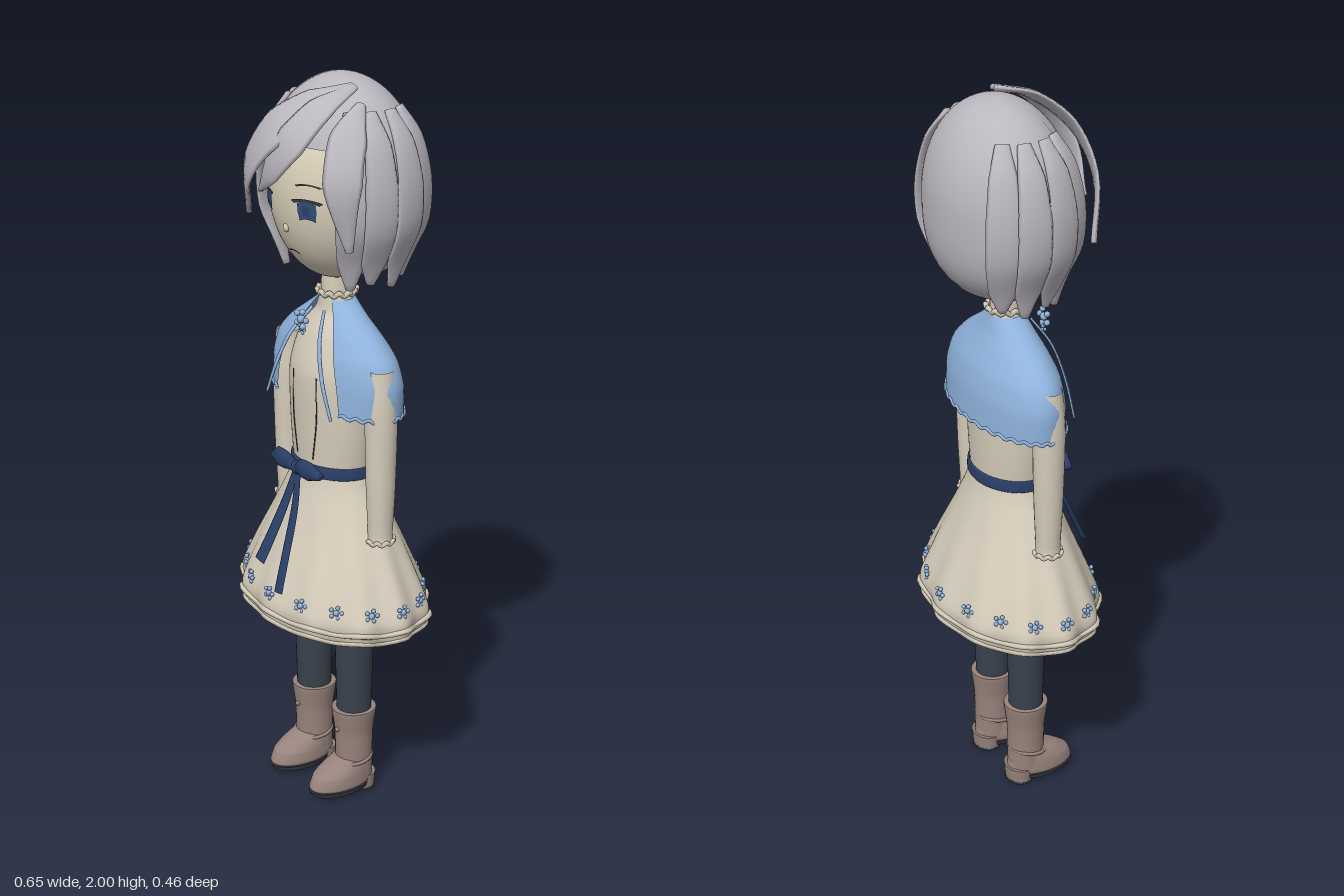
import * as THREE from 'three';

const V = (x, y, z) => new THREE.Vector3(x, y, z);
const mat = (name, color) => {
  const m = new THREE.MeshStandardMaterial({ color, side: THREE.DoubleSide });
  m.name = name;
  return m;
};

// Surface through rows of points; a closed surface wraps around each row.
function surface(rows, closed = true) {
  const n = rows[0].length, index = [];
  for (let i = 0; i < rows.length - 1; i++) {
    for (let j = 0; j < (closed ? n : n - 1); j++) {
      const k = (j + 1) % n, a = i * n, b = a + n;
      index.push(a + j, a + k, b + k, a + j, b + k, b + j);
    }
  }
  const g = new THREE.BufferGeometry().setFromPoints(rows.flat());
  g.setIndex(index);
  g.computeVertexNormals();
  return g;
}

// Elliptical rings [y, rx, rz, zCentre] listed bottom to top and smoothed.
// gap(t) opens the front, wave(angle, t) ripples the radius.
function loft(rings, { x = 0, seg = 48, steps = 32, gap = null, wave = () => 1 } = {}) {
  const size = new THREE.CatmullRomCurve3(rings.map(r => V(r[0], r[1], r[2])), false, 'catmullrom', 0.4);
  const rows = [];
  for (let i = 0; i <= steps; i++) {
    const t = i / steps, p = size.getPoint(t), row = [];
    const f = t * (rings.length - 1), k = Math.min(Math.floor(f), rings.length - 2);
    const zc = THREE.MathUtils.lerp(rings[k][3] || 0, rings[k + 1][3] || 0, f - k);
    const a0 = gap ? gap(t) : 0, n = gap ? seg + 1 : seg;
    for (let j = 0; j < n; j++) {
      const a = a0 + (2 * Math.PI - 2 * a0) * j / seg, w = wave(a, t);
      row.push(V(x + Math.sin(a) * p.y * w, p.x, zc + Math.cos(a) * p.z * w));
    }
    rows.push(row);
  }
  return surface(rows, !gap);
}

// Tapered strand with a lens section, its flat side facing away from centre.
function strand(points, widths, thick, centre) {
  const curve = new THREE.CatmullRomCurve3(points), rows = [], n = 20;
  for (let i = -1; i <= n + 1; i++) {
    const t = THREE.MathUtils.clamp(i / n, 0, 1), p = curve.getPoint(t), tan = curve.getTangent(t);
    const side = tan.clone().cross(p.clone().sub(centre)).normalize();
    const nrm = side.clone().cross(tan).normalize();
    const f = t * (widths.length - 1), k = Math.min(Math.floor(f), widths.length - 2);
    const open = i < 0 || i > n ? 0 : 1;
    const w = open * THREE.MathUtils.lerp(widths[k], widths[k + 1], f - k);
    rows.push(Array.from({ length: 10 }, (_, j) => {
      const a = -j / 10 * 2 * Math.PI;
      return p.clone().addScaledVector(side, w * Math.cos(a)).addScaledVector(nrm, open * thick * Math.sin(a));
    }));
  }
  return surface(rows);
}

const tube = (pts, r, closed = false, n = 40) =>
  new THREE.TubeGeometry(new THREE.CatmullRomCurve3(pts, closed), n, r, 6, closed);

export function createModel() {
  const M = {
    skin: mat('skin', 0xd9cfb9), dress: mat('dress cream', 0xd5ccba), hair: mat('silver hair', 0xbab7be),
    cape: mat('cape blue', 0x8fb2dc), navy: mat('ribbon navy', 0x2a3f68), eye: mat('eye blue', 0x2f4f7c),
    line: mat('dark line', 0x39363a), tights: mat('tights', 0x3a424d), boot: mat('boot brown', 0x97837c),
    sole: mat('sole', 0x3b3c44),
  };
  const model = new THREE.Group();
  const add = (name, geo, m) => {
    const o = new THREE.Mesh(geo, m);
    o.name = name;
    model.add(o);
    return o;
  };

  // Head and neck
  const hc = V(0, 1.71, -0.005), hr = V(0.185, 0.24, 0.165);
  add('head', new THREE.SphereGeometry(1, 48, 32).scale(hr.x, hr.y, hr.z).translate(hc.x, hc.y, hc.z), M.skin);
  add('neck', new THREE.CylinderGeometry(0.04, 0.042, 0.14, 24).translate(0, 1.46, -0.01), M.skin);
  add('nose', new THREE.SphereGeometry(0.012, 12, 8).scale(0.8, 1, 0.7).translate(0, 1.625, 0.149), M.skin);

  // Face details, laid on the head surface
  const faceZ = (x, y) => hc.z + hr.z * Math.sqrt(1 - (x / hr.x) ** 2 - ((y - hc.y) / hr.y) ** 2);
  const patch = (name, x, y, w, h, lift, m) => {
    const g = new THREE.PlaneGeometry(w, h, 8, 4), p = g.attributes.position;
    for (let i = 0; i < p.count; i++) {
      const u = p.getX(i) / w * 2;
      const px = x + p.getX(i) * (1 - 0.12 * (p.getY(i) < 0)), py = y + p.getY(i) - 0.006 * u * u;
      p.setXYZ(i, px, py, faceZ(px, py) + lift);
    }
    g.computeVertexNormals();
    add(name, g, m);
  };
  for (const s of [-1, 1]) {
    patch('iris', s * 0.081, 1.686, 0.05, 0.046, 0.003, M.eye);
    patch('pupil', s * 0.081, 1.687, 0.02, 0.026, 0.005, M.navy);
    patch('upperLash', s * 0.081, 1.712, 0.08, 0.008, 0.005, M.line);
    patch('eyebrow', s * 0.083, 1.752, 0.07, 0.004, 0.003, M.line);
  }
  patch('mouth', 0, 1.563, 0.045, 0.004, 0.003, M.line);

  // Hair cap: full at the sides and back, open over the face
  const hairPoint = (a, y, k = 1, minR = 0.55) => {
    const t = Math.abs(y - 1.735) / 0.265;
    const r = y > 1.735 ? Math.sqrt(Math.max(0, 1 - t * t)) : Math.max(minR, Math.sqrt(Math.max(0, 1 - t ** 3)));
    return V(Math.sin(a) * 0.235 * r * k, y, -0.03 + Math.cos(a) * 0.18 * r * k);
  };
  const capRows = [];
  for (let i = 0; i <= 32; i++) {
    capRows.push(Array.from({ length: 72 }, (_, j) => {
      const a = j / 72 * 2 * Math.PI, front = Math.min(a, 2 * Math.PI - a);
      const low = THREE.MathUtils.lerp(1.84, 1.51, THREE.MathUtils.smoothstep(front, 0.72, 1.05));
      return hairPoint(a, 2 - (2 - low) * (1 - i / 32) ** 1.6);
    }));
  }
  add('hairCap', surface(capRows), M.hair);

  // Side locks
  const headMid = V(0, 1.73, -0.03);
  for (const s of [-1, 1]) {
    [0.92, 1.28, 1.75, 2.15].forEach((a, i) => {
      const tip = 1.478 + (i % 2) * 0.015;
      const pts = [1.93, 1.86, 1.75, 1.64, 1.55, tip].map(y => hairPoint(s * a, y, 1.03, 0.72));
      add('sideLock', strand(pts, [0.018, 0.036, 0.045, 0.045, 0.036, 0.012], 0.009, headMid), M.hair);
    });
  }

  // Swept fringe
  const fringe = [
    [[V(0.09, 1.985, 0.01), V(0.07, 1.955, 0.11), V(0, 1.885, 0.185), V(-0.09, 1.775, 0.2), V(-0.165, 1.63, 0.15)],
      [0.012, 0.05, 0.065, 0.055, 0.008]],
    [[V(0.1, 1.985, 0.01), V(0.105, 1.945, 0.12), V(0.08, 1.87, 0.19), V(0.02, 1.79, 0.208), V(-0.06, 1.715, 0.185)],
      [0.012, 0.04, 0.05, 0.038, 0.005]],
    [[V(0.14, 1.95, 0.02), V(0.175, 1.88, 0.085), V(0.205, 1.77, 0.125), V(0.2, 1.6, 0.1)],
      [0.012, 0.048, 0.05, 0.01]],
  ];
  fringe.forEach(([p, w]) => add('fringe', strand(p, w, 0.008, headMid), M.hair));

  // Bodice with pleat lines and a frilled collar
  add('bodice', loft([[0.94, 0.125, 0.095], [1.08, 0.14, 0.1], [1.22, 0.142, 0.1], [1.32, 0.115, 0.075, -0.005],
    [1.38, 0.065, 0.05, -0.01], [1.43, 0.044, 0.044, -0.01]]), M.dress);
  const frill = (name, y, x, z, rx, rz, lobes, amp, r, m) => add(name, tube(
    Array.from({ length: lobes * 6 }, (_, i) => {
      const a = i / (lobes * 6) * 2 * Math.PI, w = Math.cos(a * lobes);
      return V(x + Math.sin(a) * rx * (1 + 0.04 * w), y + amp * w, z + Math.cos(a) * rz * (1 + 0.04 * w));
    }), r, true, lobes * 8), m);
  frill('collarFrill', 1.43, 0, -0.01, 0.05, 0.05, 12, 0.005, 0.007, M.dress);
  for (const s of [-1, 1]) {
    add('pleat', tube([V(s * 0.05, 1.22, 0.094), V(s * 0.05, 1.1, 0.094), V(s * 0.034, 0.99, 0.094)], 0.002), M.line);
  }

  // Shoulder cape, open at the front, with edging
  const capeRings = [[1.14, 0.243, 0.118, -0.012], [1.22, 0.244, 0.112, -0.012], [1.28, 0.222, 0.1, -0.01],
    [1.33, 0.172, 0.08, -0.008], [1.37, 0.115, 0.062, -0.008], [1.415, 0.05, 0.046, -0.01]];
  add('cape', loft(capeRings, { gap: t => 0.6 - 0.12 * Math.sin(Math.PI * t) }), M.cape);
  const hem = Array.from({ length: 120 }, (_, i) => {
    const a = 0.6 + (2 * Math.PI - 1.2) * i / 119;
    return V(Math.sin(a) * 0.243, 1.14 + 0.004 * Math.sin(i * 1.3), -0.012 + Math.cos(a) * 0.118);
  });
  add('capeHem', tube(hem, 0.005, false, 180), M.cape);
  for (const s of [-1, 1]) {
    add('capeEdging', strand([V(s * 0.025, 1.39, 0.05), V(s * 0.062, 1.32, 0.092), V(s * 0.1, 1.23, 0.112),
      V(s * 0.142, 1.135, 0.115)], [0.005, 0.007, 0.007, 0.005], 0.003, V(0, 1.25, -0.3)), M.cape);
  }

  // Sleeves with frilled cuffs
  for (const s of [-1, 1]) {
    add('sleeve', loft([[0.79, 0.002, 0.002], [0.79, 0.033, 0.033], [0.82, 0.033, 0.033], [0.95, 0.039, 0.039],
      [1.15, 0.042, 0.043], [1.27, 0.03, 0.035]], { x: s * 0.205, seg: 24 }), M.dress);
    frill('cuffFrill', 0.795, s * 0.205, 0, 0.036, 0.036, 9, 0.004, 0.006, M.dress);
  }

  // Skirt, closed underneath, with scalloped hem
  const ripple = (a, t) => 1 + 0.028 * Math.cos(12 * a) * (1 - THREE.MathUtils.smoothstep(t, 0.4, 0.95));
  add('skirt', loft([[0.555, 0.002, 0.002], [0.55, 0.2, 0.14], [0.533, 0.29, 0.203], [0.56, 0.306, 0.214],
    [0.6, 0.306, 0.214], [0.7, 0.258, 0.178], [0.8, 0.203, 0.14], [0.9, 0.148, 0.108], [0.96, 0.125, 0.095]],
  { seg: 120, steps: 48, wave: ripple }), M.dress);
  frill('upperHemFrill', 0.565, 0, 0, 0.308, 0.215, 12, 0.006, 0.008, M.dress);
  frill('lowerHemFrill', 0.538, 0, 0, 0.296, 0.207, 12, 0.006, 0.009, M.dress);

  // Small bead flowers around the skirt and at the collar
  const beads = (x, y, z, tx, tz, r) => {
    for (let k = 0; k < 6; k++) {
      const a = k * 1.26, d = k ? 1.9 * r : 0;
      add('beadFlower', new THREE.SphereGeometry(k ? r * 0.75 : r, 10, 8).translate(
        x + tx * d * Math.cos(a), y + d * Math.sin(a), z + tz * d * Math.cos(a)), M.cape);
    }
  };
  for (let i = 0; i < 16; i++) {
    const a = i / 16 * 2 * Math.PI, k = ripple(a, 0.5);
    beads(Math.sin(a) * 0.3 * k, 0.622, Math.cos(a) * 0.211 * k, Math.cos(a), -Math.sin(a), 0.008);
  }
  beads(0, 1.372, 0.105, 1, 0, 0.011);
  beads(0, 1.345, 0.103, 1, 0, 0.006);

  // Sash, bow and ribbon tails
  add('sash', loft([[0.942, 0.129, 0.099], [0.945, 0.134, 0.104], [0.972, 0.132, 0.103], [0.975, 0.127, 0.098]],
    { steps: 12 }), M.navy);
  const back = V(0, 0.9, -2);
  add('bowKnot', new THREE.SphereGeometry(0.02, 16, 12).scale(1, 0.95, 0.7).translate(0, 0.962, 0.122), M.navy);
  for (const s of [-1, 1]) {
    add('bowLoop', strand([V(0, 0.96, 0.12), V(s * 0.05, 0.975, 0.132), V(s * 0.105, 0.966, 0.12)],
      [0.008, 0.026, 0.028, 0.008], 0.013, back), M.navy);
  }
  add('ribbonTail', strand([V(-0.004, 0.955, 0.12), V(-0.022, 0.86, 0.145), V(-0.04, 0.76, 0.182),
    V(-0.053, 0.695, 0.208)], [0.012, 0.018, 0.02], 0.003, back), M.navy);
  add('ribbonTail', strand([V(0.004, 0.955, 0.12), V(0.022, 0.86, 0.145), V(0.042, 0.74, 0.19),
    V(0.056, 0.645, 0.225)], [0.012, 0.017, 0.018], 0.003, back), M.navy);

  // Legs and boots
  for (const s of [-1, 1]) {
    const x = s * 0.093;
    add('leg', new THREE.CylinderGeometry(0.056, 0.047, 0.36, 32).translate(x, 0.4, 0), M.tights);
    add('bootShaft', loft([[0.04, 0.05, 0.052], [0.1, 0.05, 0.052], [0.18, 0.051, 0.054], [0.245, 0.06, 0.062],
      [0.252, 0.057, 0.059], [0.252, 0.04, 0.04]], { x, seg: 32 }), M.boot);
    add('bootFoot', loft([[0.024, 0.05, 0.09, 0.045], [0.035, 0.058, 0.1, 0.045], [0.065, 0.056, 0.092, 0.04],
      [0.09, 0.05, 0.072, 0.02], [0.11, 0.042, 0.045, 0]], { x, seg: 32 }), M.boot);
    add('bootSole', new THREE.CylinderGeometry(0.058, 0.054, 0.014, 32).scale(1, 1, 1.72)
      .translate(x, 0.02, 0.046), M.sole);
    add('bootHeel', new THREE.CylinderGeometry(0.049, 0.045, 0.042, 24).scale(1, 1, 0.8)
      .translate(x, 0.025, -0.022), M.boot);
    add('heelCap', new THREE.CylinderGeometry(0.046, 0.046, 0.006, 24).scale(1, 1, 0.8)
      .translate(x, 0.003, -0.022), M.sole);
    add('bootStrap', new THREE.TorusGeometry(0.053, 0.005, 8, 32).rotateX(Math.PI / 2 + 0.15)
      .translate(x, 0.1, 0.004), M.boot);
    add('bootButton', new THREE.SphereGeometry(0.007, 10, 8).translate(x, 0.195, 0.057), M.boot);
  }
  return model;
}
